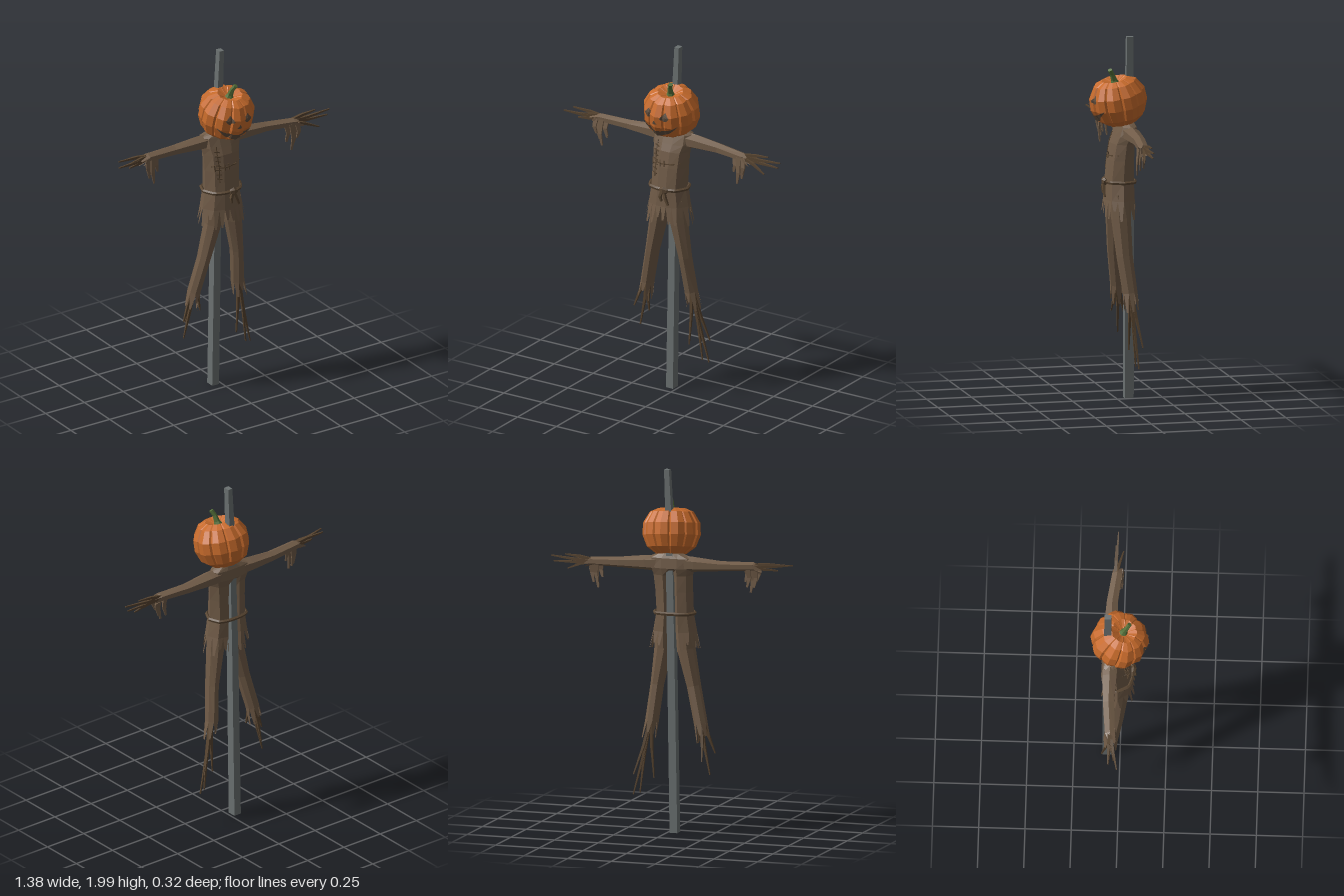
import * as THREE from 'three';

const mat = (name, color, side = THREE.FrontSide) => {
  const m = new THREE.MeshStandardMaterial({ color, flatShading: true, side });
  m.name = name;
  return m;
};
const V = (x, y, z) => new THREE.Vector3(x, y, z);

// Closed solid through a list of rings, each with the same number of points
function loft(rings) {
  const n = rings[0].length, tris = [];
  const mid = r => r.reduce((s, p) => s.add(p), V(0, 0, 0)).divideScalar(n);
  for (let i = 0; i < rings.length - 1; i++) {
    for (let k = 0; k < n; k++) {
      const a = rings[i][k], b = rings[i][(k + 1) % n], c = rings[i + 1][k], d = rings[i + 1][(k + 1) % n];
      tris.push([a, c, b], [b, c, d]);
    }
  }
  const first = rings[0], last = rings[rings.length - 1], m0 = mid(first), m1 = mid(last);
  for (let k = 0; k < n; k++) {
    tris.push([m0, first[k], first[(k + 1) % n]], [m1, last[(k + 1) % n], last[k]]);
  }
  const volume = tris.reduce((s, [a, b, c]) => s + a.clone().sub(m0).dot(b.clone().sub(m0).cross(c.clone().sub(m0))), 0);
  return fromTriangles(volume < 0 ? tris.map(([a, b, c]) => [a, c, b]) : tris);
}

function fromTriangles(tris) {
  const g = new THREE.BufferGeometry().setFromPoints(tris.flat());
  g.computeVertexNormals();
  return g;
}

// Rings along a path of [x, y, z, half width, half height]
function limbRings(path, sides) {
  const pts = path.map(p => V(p[0], p[1], p[2]));
  const whole = pts[pts.length - 1].clone().sub(pts[0]).normalize();
  const ref = Math.abs(whole.y) > 0.75 ? V(0, 0, 1) : V(0, 1, 0);
  return pts.map((p, i) => {
    const d = pts[Math.min(i + 1, pts.length - 1)].clone().sub(pts[Math.max(i - 1, 0)]).normalize();
    const u = ref.clone().cross(d).normalize(), v = d.clone().cross(u);
    const [, , , ra, rb = ra] = path[i], s = 1 / Math.cos(Math.PI / sides);
    return Array.from({ length: sides }, (_, k) => {
      const a = (k + 0.5) / sides * Math.PI * 2;
      return p.clone().addScaledVector(u, Math.cos(a) * ra * s).addScaledVector(v, Math.sin(a) * rb * s);
    });
  });
}

// Ragged strips hanging from the edge of a ring
function fringe(ring, drop, flare) {
  const c = ring.reduce((s, p) => s.add(p), V(0, 0, 0)).divideScalar(ring.length), tris = [];
  ring.forEach((a, k) => {
    const b = ring[(k + 1) % ring.length], len = [1, 0.6, 0.85, 0.5, 0.95, 0.7, 0.9][(k * 3) % 7];
    const tip = (t) => a.clone().lerp(b, t).addScaledVector(drop, len)
      .add(a.clone().lerp(b, 0.5).sub(c).multiplyScalar(flare * len));
    const p = tip(0.3), q = tip(0.65);
    tris.push([a, b, p], [b, q, p]);
  });
  return fromTriangles(tris);
}

export function createModel() {
  const model = new THREE.Group();
  model.name = 'scarecrow';
  const orange = mat('pumpkin orange', 0xc66a2b);
  const cloth = mat('brown cloth', 0x705b47, THREE.DoubleSide);
  const twigBrown = mat('twig brown', 0x56432f);
  const rope = mat('dark rope', 0x594632);
  const wood = mat('grey wood', 0x6a7070);
  const green = mat('stem green', 0x55703a);
  const hollow = mat('carved hollow', 0x5e4c3c, THREE.DoubleSide);

  const add = (name, geo, m, parent = model) => {
    const mesh = new THREE.Mesh(geo, m);
    mesh.name = name;
    parent.add(mesh);
    return mesh;
  };
  const limb = (name, m, path, sides = 4, parent = model) => add(name, loft(limbRings(path, sides)), m, parent);
  const ray = new THREE.Raycaster();
  const frontZ = (mesh, x, y) => {
    ray.set(V(x, y, 2), V(0, 0, -1));
    const hit = ray.intersectObject(mesh)[0];
    return hit ? hit.point.z : 0;
  };

  // Leaning pole
  limb('pole', wood, [[-0.038, 0, -0.07, 0.022, 0.025], [-0.022, 1, -0.07, 0.021, 0.024],
    [-0.008, 1.7, -0.068, 0.018, 0.02], [0.005, 1.99, -0.067, 0.014, 0.018]]);

  // Torso: the back has a fold that makes room for the pole
  const outline = [[1, 0.5], [0.72, 0.88], [0.25, 1], [-0.25, 1], [-0.72, 0.88], [-1, 0.5],
    [-0.8, 0.1], [-0.35, 0], [0, 0], [0.35, 0], [0.8, 0.1]];
  const bodyRing = (y, x0, x1, z0, z1, fold) => outline.map(([u, v], i) =>
    V((x0 + x1) / 2 + u * (x1 - x0) / 2, y, z0 + (z1 - z0) * (i === 8 ? fold : v)));
  const waist = bodyRing(1.2, -0.127, 0.087, -0.088, 0.062, 0.3);
  const hem = bodyRing(1.1, -0.145, 0.105, -0.09, 0.068, 0.3);
  const torso = add('shirt', loft([hem, waist,
    bodyRing(1.32, -0.125, 0.092, -0.088, 0.05, 0.3),
    bodyRing(1.41, -0.127, 0.1, -0.09, 0.035, 0.25),
    bodyRing(1.45, -0.138, 0.115, -0.1, 0.02, 0),
    bodyRing(1.505, -0.14, 0.115, -0.095, 0.0, 0),
    bodyRing(1.53, -0.07, 0.06, -0.085, -0.005, 0)]), cloth);
  const fineHem = hem.flatMap((p, i) => [p, p.clone().lerp(hem[(i + 1) % hem.length], 0.5)]);
  add('shirtTatters', fringe(fineHem, V(0, -0.105, 0), 0.2), cloth);

  // Rope belt with knot and loose ends
  const beltPath = new THREE.CatmullRomCurve3(waist.filter((_, i) => i !== 8)
    .map(p => V(-0.02 + (p.x + 0.02) * 1.06, p.y, p.z + Math.sign(p.z) * 0.004)), true, 'catmullrom', 0.2);
  add('belt', new THREE.TubeGeometry(beltPath, 40, 0.01, 5, true), rope);
  limb('beltKnot', rope, [[-0.022, 1.2, 0.07, 0.01, 0.012], [0, 1.2, 0.074, 0.014, 0.02], [0.022, 1.198, 0.07, 0.01, 0.012]], 6);
  limb('beltEnd', rope, [[0.0, 1.2, 0.075, 0.008], [0.015, 1.16, 0.08, 0.007], [0.032, 1.12, 0.078, 0.005]]);
  limb('beltEnd', rope, [[-0.005, 1.2, 0.075, 0.008], [-0.018, 1.165, 0.08, 0.007], [-0.012, 1.135, 0.076, 0.005]]);

  // Stitched seams on the chest
  const seam = pts => limb('seam', rope, pts.map(([x, y]) => [x, y, frontZ(torso, x, y) + 0.001, 0.003]));
  seam([[-0.072, 1.46], [-0.075, 1.41], [-0.07, 1.345], [-0.073, 1.26]]);
  seam([[-0.105, 1.35], [-0.07, 1.345], [-0.03, 1.34], [0.03, 1.345], [0.075, 1.35]]);
  for (let i = 0; i < 7; i++) {
    const y = 1.28 + i * 0.025;
    seam([[-0.087, y + 0.004], [-0.058, y - 0.002]]);
  }
  for (const x of [-0.04, -0.015, -0.095]) seam([[x, 1.36], [x + 0.003, 1.325]]);

  // Sleeves with rags hanging from the cuffs
  const sleeves = {
    left: [[0.04, 1.47, -0.05, 0.04, 0.04], [0.13, 1.47, -0.052, 0.04, 0.035], [0.28, 1.463, -0.052, 0.03, 0.025], [0.45, 1.456, -0.03, 0.027, 0.02]],
    right: [[-0.06, 1.475, -0.05, 0.04, 0.04], [-0.15, 1.475, -0.054, 0.038, 0.035], [-0.3, 1.475, -0.055, 0.03, 0.024], [-0.48, 1.482, -0.042, 0.027, 0.02]],
  };
  for (const [side, path] of Object.entries(sleeves)) {
    const rings = limbRings(path, 6), s = side === 'left' ? 1 : -1, [x, y, z] = path[3];
    add(side + 'Sleeve', loft(rings), cloth);
    add(side + 'CuffTatters', fringe(rings[3], V(s * 0.055, -0.02, 0.01), 0.1), cloth);
    [[-0.05, 0.012, 0.09], [-0.03, -0.015, 0.115], [-0.022, 0.022, 0.15], [0, 0.01, 0.12], [0.012, 0.025, 0.085]].forEach(([dx, dz, len]) => {
      const rx = x + s * dx;
      limb(side + 'SleeveRag', cloth, [[rx, y, z + dz, 0.014, 0.004], [rx + s * 0.006, y - len * 0.55, z + dz + 0.008, 0.011, 0.004],
        [rx - s * 0.005, y - len, z + dz + 0.004, 0.005, 0.003]]);
    });
  }

  // Trouser legs with torn hems
  const legs = {
    left: [[0.035, 1.13, -0.005, 0.05, 0.055], [0.048, 1.0, -0.008, 0.046, 0.05], [0.08, 0.8, -0.02, 0.033, 0.042], [0.102, 0.6, -0.045, 0.034, 0.038]],
    right: [[-0.07, 1.13, -0.005, 0.05, 0.055], [-0.082, 1.0, -0.008, 0.046, 0.05], [-0.13, 0.8, -0.02, 0.035, 0.042], [-0.178, 0.6, -0.045, 0.034, 0.038]],
  };
  for (const [side, path] of Object.entries(legs)) {
    const rings = limbRings(path, 8), s = side === 'left' ? 1 : -1;
    add(side + 'Leg', loft(rings), cloth);
    add(side + 'HemTatters', fringe(rings[3], V(s * 0.018, -0.1, -0.005), 0.15), cloth);
  }

  // Twig fingers and toes: start, then tip, with a slight kink between
  const twigs = (name, [x, y, z], tips, kink) => tips.forEach((t, i) => {
    const k = kink * (i % 2 ? 1 : -1);
    limb(name, twigBrown, [[x, y, z, 0.009], [x + (t[0] - x) * 0.5 + k, y + (t[1] - y) * 0.5 + k, z + (t[2] - z) * 0.5, 0.007], [...t, 0.003]]);
  });
  twigs('leftFinger', [0.42, 1.458, -0.04], [[0.685, 1.472, -0.03], [0.6, 1.485, -0.04], [0.67, 1.442, -0.03], [0.6, 1.4, 0]], 0.006);
  twigs('rightFinger', [-0.45, 1.485, -0.045], [[-0.69, 1.492, 0], [-0.66, 1.5, -0.05], [-0.61, 1.462, -0.02], [-0.6, 1.488, -0.02]], 0.006);
  twigs('leftToe', [0.105, 0.63, -0.045], [[0.2, 0.195, -0.07], [0.165, 0.205, -0.06], [0.19, 0.31, -0.095], [0.092, 0.285, -0.04]], 0.006);
  twigs('rightToe', [-0.178, 0.63, -0.045], [[-0.255, 0.44, -0.03], [-0.235, 0.325, -0.06], [-0.2, 0.4, -0.095], [-0.155, 0.49, -0.02]], 0.006);

  // Pumpkin head: ten broad lobes parted by narrow grooves
  const head = new THREE.Group();
  head.name = 'head';
  const profile = [[0.03, -0.1], [0.08, -0.122], [0.128, -0.085], [0.153, -0.02], [0.15, 0.045], [0.115, 0.105], [0.07, 0.125], [0.025, 0.105]];
  const lobes = 10;
  const pumpkinRings = profile.map(([r, y]) => Array.from({ length: lobes * 4 }, (_, k) => {
    const part = k % 4, lobe = Math.floor(k / 4);
    const a = (lobe + 0.5 + [0, 0.1, 0.5, 0.9][part]) / lobes * Math.PI * 2 + Math.PI / 2;
    const rr = r * [0.9, 0.97, 1.02, 0.97][part] * (1 + 0.02 * Math.sin(lobe * 2.3));
    return V(Math.cos(a) * rr, y, Math.sin(a) * rr);
  }));
  const pumpkin = add('pumpkin', loft(pumpkinRings), orange, head);
  limb('stem', green, [[0, 0.09, 0, 0.026], [0.002, 0.12, 0.002, 0.014], [0.006, 0.155, 0.008, 0.011], [0.018, 0.185, 0.016, 0.011]], 6, head);

  // Carved openings laid on the skin, between a lower and an upper edge
  const carve = (name, cx, half, low, high, cols) => {
    const rows = 4, at = (i, j) => {
      const t = i / cols * 2 - 1, x = cx + t * half, y = low(t) + (high(t) - low(t)) * j / rows;
      return V(x, y, frontZ(pumpkin, x, y) + 0.005);
    };
    const tris = [];
    for (let i = 0; i < cols; i++) for (let j = 0; j < rows; j++) {
      const a = at(i, j), b = at(i + 1, j), c = at(i + 1, j + 1), d = at(i, j + 1);
      tris.push([a, b, c], [a, c, d]);
    }
    add(name, fromTriangles(tris), hollow, head);
  };
  for (const s of [-1, 1]) {
    carve(s > 0 ? 'leftEye' : 'rightEye', s * 0.054, 0.025, t => 0.042 - 0.02 * (1 - t * t), t => 0.042 + 0.03 * (1 - Math.abs(t)), 8);
  }
  carve('nose', 0, 0.014, () => 0.002, t => 0.002 + 0.025 * (1 - Math.abs(t)), 4);
  carve('mouth', 0, 0.112, t => -0.083 + 0.068 * t * t, t => -0.045 + 0.032 * t * t, 24);
  head.rotation.set(0.2, -0.08, -0.06);
  head.position.set(0.003, 1.64, -0.005);
  model.add(head);
  return model;
}
